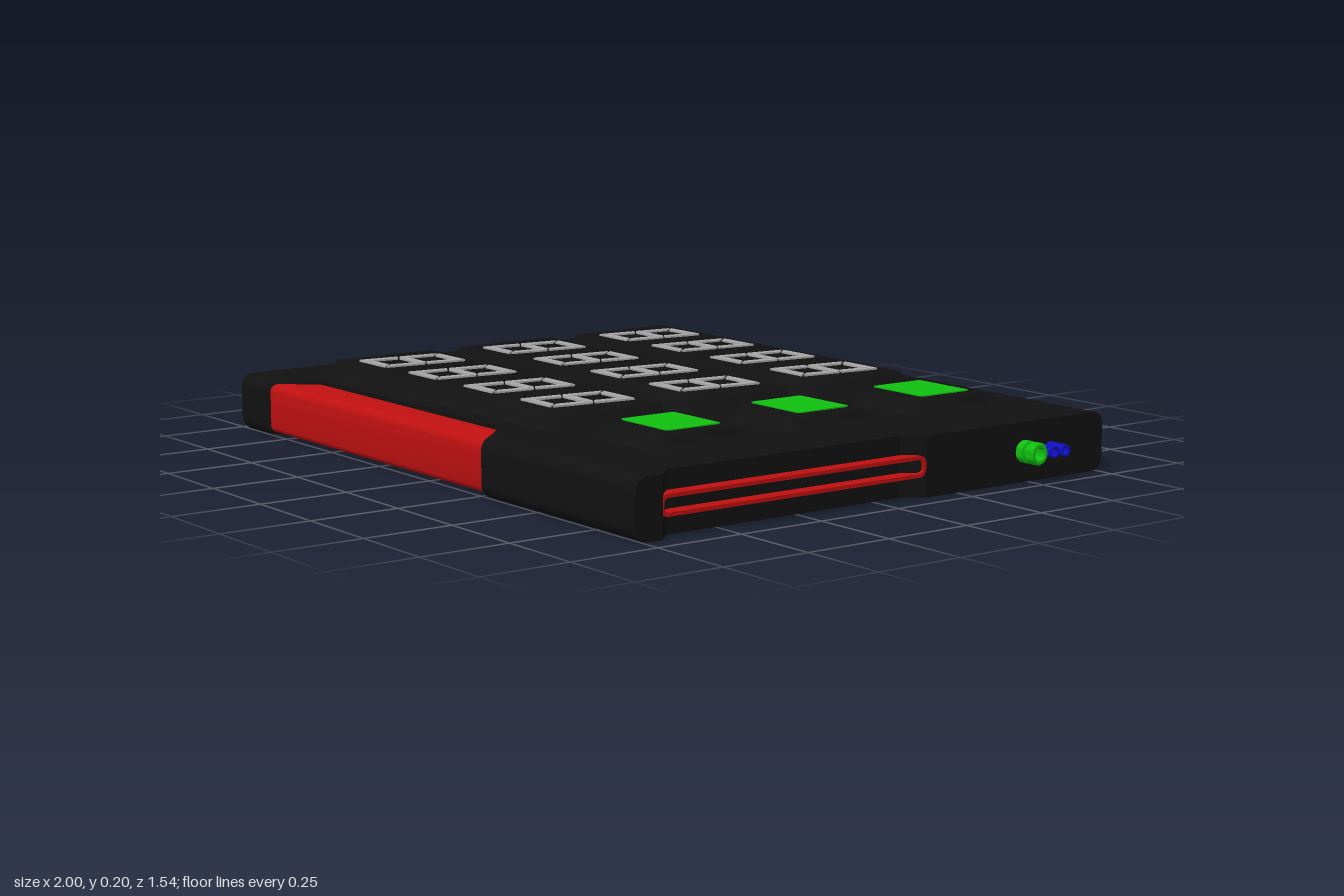
import * as THREE from 'three';
import { toCreasedNormals } from 'three/addons/utils/BufferGeometryUtils.js';

const mat = (color) => new THREE.MeshStandardMaterial({ color });
const black = mat(0x111111), red = mat(0xc01010), green = mat(0x10c010);
const blue = mat(0x1010c0), grey = mat(0xa6a6a6);

function add(parent, name, geometry, material, x = 0, y = 0, z = 0) {
  const mesh = new THREE.Mesh(geometry, material);
  mesh.name = name;
  mesh.position.set(x, y, z);
  parent.add(mesh);
  return mesh;
}

// Solid from stacked plan outlines; outline(inset) gives [x, -z] points, counter-clockwise from above
function stack(outline, levels) {
  const pos = [];
  const rings = levels.map(([inset, y]) => outline(inset).map(([x, s]) => [x, y, -s]));
  const n = rings[0].length;
  for (let k = 0; k + 1 < rings.length; k++) {
    for (let i = 0; i < n; i++) {
      const j = (i + 1) % n, lo = rings[k], hi = rings[k + 1];
      pos.push(...lo[i], ...lo[j], ...hi[j], ...lo[i], ...hi[j], ...hi[i]);
    }
  }
  const cap = (ring, top) => {
    const flat = ring.map((p) => new THREE.Vector2(p[0], -p[2]));
    for (const [a, b, c] of THREE.ShapeUtils.triangulateShape(flat, [])) {
      pos.push(...ring[a], ...ring[top ? b : c], ...ring[top ? c : b]);
    }
  };
  cap(rings[0], false);
  cap(rings[rings.length - 1], true);
  const g = new THREE.BufferGeometry();
  g.setAttribute('position', new THREE.Float32BufferAttribute(pos, 3));
  return toCreasedNormals(g, 0.6);
}

// Levels for a slab whose top and bottom edges are rounded with radius r
function roundedLevels(y0, y1, r) {
  const half = [];
  for (let k = 0; k <= 6; k++) {
    const a = (k / 6) * Math.PI / 2;
    half.push([r * (1 - Math.sin(a)), r * (1 - Math.cos(a))]);
  }
  return [...half.map(([d, h]) => [d, y0 + h]), ...half.reverse().map(([d, h]) => [d, y1 - h])];
}

function arc(cx, cy, r, from, steps = 6) {
  return Array.from({ length: steps + 1 }, (_, i) => {
    const a = (from + 90 * i / steps) * Math.PI / 180;
    return [cx + r * Math.cos(a), cy + r * Math.sin(a)];
  });
}

function roundedRect(hw, hh, r) {
  return [
    ...arc(hw - r, hh - r, r, 0), ...arc(-hw + r, hh - r, r, 90),
    ...arc(-hw + r, -hh + r, r, 180), ...arc(hw - r, -hh + r, r, 270),
  ];
}

// Case plan with notches in the front and right edges
function caseOutline(d) {
  const R = 0.045, f = 0.77 - d;
  return [
    [0.94, f],
    ...arc(-1 + R, 0.77 - R, R - d, 90), ...arc(-1 + R, -0.77 + R, R - d, 180),
    [-0.84, -f], [-0.73, -0.645], [0.18, -0.645], [0.28, -f],
    [0.94, -f], [0.94, -0.69], [0.9, -0.65], [0.9, 0.09], [0.94, 0.145],
  ];
}

// Raised pad with a softly curved skirt; hw, hd are half sizes at its foot
function pad(hw, hd) {
  const levels = [[0, 0.155], [0, 0.16], [0.009, 0.164], [0.018, 0.172], [0.03, 0.188], [0.036, 0.195], [0.045, 0.2]];
  return stack((d) => roundedRect(hw - d, hd - d, 0.055 - d), levels);
}

// Seven mitred segments of a slanted digit, centred on the origin
function digitGeometry() {
  const w = 0.148, h = 0.25, t = 0.027, g = 0.004, m = h / 2;
  const top = [[g, h], [w - g, h], [w - t - g, h - t], [t + g, h - t]];
  const side = [[0, h - g], [t, h - t - g], [t, m + t / 2 + g], [0, m + g]];
  const middle = [[g, m], [t, m + t / 2], [w - t, m + t / 2], [w - g, m], [w - t, m - t / 2], [t, m - t / 2]];
  const flipX = (s) => s.map(([x, y]) => [w - x, y]);
  const flipY = (s) => s.map(([x, y]) => [x, h - y]);
  const segments = [top, flipY(top), side, flipX(side), flipY(side), flipX(flipY(side)), middle];
  const shapes = segments.map((s) => new THREE.Shape(
    s.map(([x, y]) => new THREE.Vector2(x - w / 2 + (y / h - 0.5) * 0.028, y - m))));
  return new THREE.ExtrudeGeometry(shapes, { depth: 0.006, bevelEnabled: false }).rotateX(-Math.PI / 2);
}

// Hollow socket pointing along +x, profile given as [radius, x]
function socket(profile) {
  const g = new THREE.LatheGeometry(profile.map(([r, x]) => new THREE.Vector2(r, x)), 24);
  return toCreasedNormals(g.rotateZ(-Math.PI / 2), 0.6);
}

export function createModel() {
  const model = new THREE.Group();
  model.name = 'displayUnit';

  add(model, 'case', stack(caseOutline, roundedLevels(0, 0.16, 0.035)), black);

  // Red front window filling its notch
  const windowOutline = (d) => [[-0.839, -0.755 + d], [0.279, -0.755 + d], [0.18, -0.64], [-0.73, -0.64]];
  add(model, 'frontWindow', stack(windowOutline, roundedLevels(0.008, 0.148, 0.022)), red);

  // Three rows: display pad with four digits, and a button on its own pad
  const displayPad = pad(0.597, 0.205), buttonPad = pad(0.152, 0.155), digit = digitGeometry();
  const buttonPlate = stack((d) => roundedRect(0.1 - d, 0.085 - d, 0.01), [[0, 0.195], [0, 0.203]]);
  [-0.455, -0.033, 0.388].forEach((z, i) => {
    const row = new THREE.Group();
    row.name = 'row' + (i + 1);
    row.position.z = z;
    model.add(row);
    add(row, 'displayPad', displayPad, black, -0.255);
    add(row, 'buttonPad', buttonPad, black, 0.569);
    add(row, 'button', buttonPlate, green, 0.569);
    for (const x of [-0.657, -0.394, -0.112, 0.162]) add(row, 'digit', digit, grey, x, 0.199, 0);
  });

  // Red slot frame in the right-hand notch
  const toVec = ([x, y]) => new THREE.Vector2(x, y);
  const frame = new THREE.Shape(roundedRect(0.42, 0.028, 0.02).map(toVec));
  frame.holes.push(new THREE.Path(roundedRect(0.41, 0.018, 0.012).reverse().map(toVec)));
  const slot = add(model, 'slotFrame',
    new THREE.ExtrudeGeometry(frame, { depth: 0.05, bevelEnabled: false }), red, 0.89, 0.082, 0.275);
  slot.rotation.y = Math.PI / 2;

  // Connectors on the right side
  add(model, 'jack', socket([
    [0.03, 0], [0.03, 0.022], [0.022, 0.025], [0.022, 0.032], [0.03, 0.035], [0.03, 0.055],
    [0.026, 0.06], [0.018, 0.06], [0.018, 0],
  ]), green, 0.94, 0.082, -0.486);
  const pin = socket([[0.016, 0], [0.016, 0.06], [0.011, 0.06], [0.011, 0]]);
  for (const z of [-0.539, -0.579]) add(model, 'pin', pin, blue, 0.94, 0.082, z);

  return model;
}
